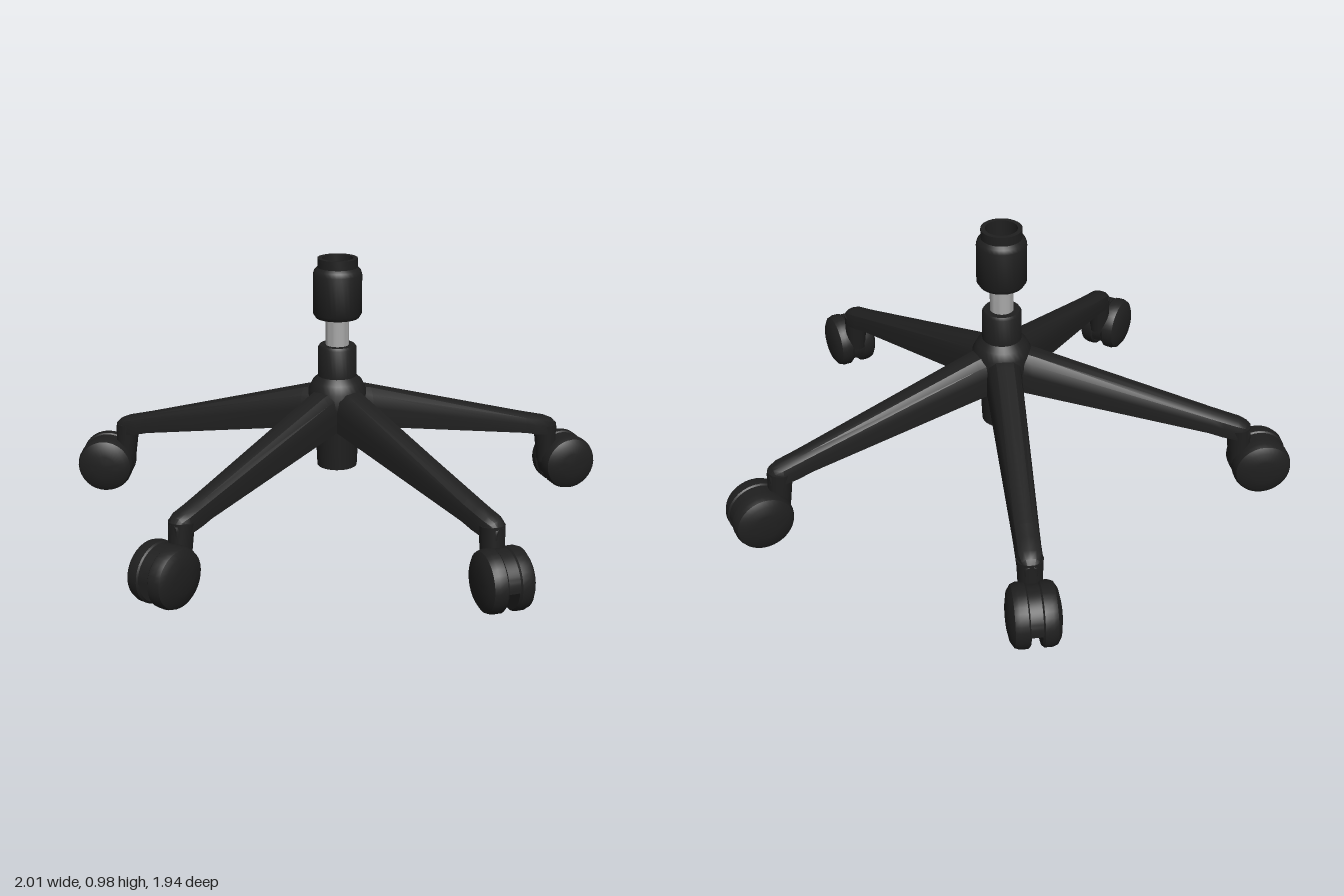
import * as THREE from 'three';
import { toCreasedNormals } from 'three/addons/utils/BufferGeometryUtils.js';

const plastic = new THREE.MeshStandardMaterial({ color: 0x1f1f1f });
plastic.name = 'black plastic';
const steel = new THREE.MeshStandardMaterial({ color: 0xa8a8a8 });
steel.name = 'grey steel';

function add(parent, name, geometry, material = plastic) {
  const mesh = new THREE.Mesh(toCreasedNormals(geometry, 0.6), material);
  mesh.name = name;
  parent.add(mesh);
  return mesh;
}

const lathe = (points, sides = 32) =>
  new THREE.LatheGeometry(points.map(([r, y]) => new THREE.Vector2(r, y)), sides);

// Arm running along +z: a tapering rounded bar with a channel underneath
function armGeometry(length) {
  // distance, bottom, top, half width, channel depth
  const stations = [
    [0.04, 0.365, 0.515, 0.066, 0.35],
    [0.12, 0.35, 0.497, 0.061, 0.35],
    [length - 0.1, 0.245, 0.318, 0.043, 0.35],
    [length - 0.05, 0.232, 0.305, 0.042, 0],
    [length, 0.225, 0.292, 0.042, 0],
    [length + 0.028, 0.222, 0.28, 0.033, 0],
    [length + 0.044, 0.222, 0.258, 0.018, 0],
  ];
  const rings = stations.map(([z, bottom, top, w, groove]) =>
    [[-1, 0], [-1, 0.5], [-0.87, 0.8], [-0.5, 0.97], [0, 1], [0.5, 0.97], [0.87, 0.8], [1, 0.5], [1, 0],
      [0.6, 0], [0.5, groove], [-0.5, groove], [-0.6, 0]]
      .map(([u, v]) => [u * w, bottom + v * (top - bottom), z]));
  const positions = [];
  const face = (...corners) => corners.forEach((p) => positions.push(...p));
  const n = rings[0].length;
  for (let i = 0; i < rings.length - 1; i++) {
    for (let j = 0; j < n; j++) {
      const k = (j + 1) % n;
      const [a, b] = [rings[i], rings[i + 1]];
      face(a[j], b[j], a[k]);
      face(a[k], b[j], b[k]);
    }
  }
  const tip = rings[rings.length - 1];
  for (let j = 0; j < n; j++) face([0, 0.235, length + 0.044], tip[(j + 1) % n], tip[j]);
  const geometry = new THREE.BufferGeometry();
  geometry.setAttribute('position', new THREE.Float32BufferAttribute(positions, 3));
  return geometry;
}

// Twin-wheel caster, pivot at the origin, trailing toward +z
function makeCaster() {
  const caster = new THREE.Group();
  caster.name = 'caster';
  const offset = 0.088;
  const radius = 0.105;

  const stem = add(caster, 'casterStem', new THREE.CylinderGeometry(0.044, 0.038, 0.15, 20));
  stem.position.set(0, 0.185, 0.008);
  stem.rotation.x = -0.1;

  const wheelProfile = [[0, 0.018], [0.098, 0.018], [radius, 0.025], [radius, 0.052], [0.099, 0.068],
    [0.08, 0.08], [0.045, 0.087], [0, 0.089]];
  for (const side of [-1, 1]) {
    const wheel = add(caster, side > 0 ? 'leftWheel' : 'rightWheel', lathe(wheelProfile));
    wheel.rotation.z = -side * Math.PI / 2;
    wheel.position.set(0, radius, offset);
  }

  // Half-round hood closing the top of the gap between the wheels
  const hoodShape = new THREE.Shape();
  hoodShape.absarc(0, 0, 0.1, -0.05, Math.PI + 0.5, false);
  hoodShape.closePath();
  const hoodGeometry = new THREE.ExtrudeGeometry(hoodShape, { depth: 0.04, bevelEnabled: false, curveSegments: 20 });
  hoodGeometry.translate(0, 0, -0.02).rotateY(-Math.PI / 2);
  add(caster, 'casterHood', hoodGeometry).position.set(0, radius, offset);

  const axle = add(caster, 'axle', new THREE.CylinderGeometry(0.022, 0.022, 0.05, 16));
  axle.rotation.z = Math.PI / 2;
  axle.position.set(0, radius, offset);
  return caster;
}

export function createModel() {
  const model = new THREE.Group();
  model.name = 'chairBase';
  const base = new THREE.Group();
  base.name = 'fiveStarBase';
  base.position.z = -0.08;
  model.add(base);

  // Central hub with its collar and lower tube
  add(base, 'hub', lathe([[0, 0.2], [0.073, 0.2], [0.08, 0.35], [0.1, 0.362], [0.108, 0.44],
    [0.105, 0.495], [0.09, 0.525], [0.07, 0.545], [0.07, 0.65], [0.064, 0.66], [0, 0.66]]));

  // Gas lift, a tube open at the top
  add(base, 'gasLift', lathe([[0.042, 0.62], [0.042, 0.91], [0.035, 0.91], [0.035, 0.89]]), steel);
  add(base, 'gasLiftPlug', new THREE.CylinderGeometry(0.035, 0.035, 0.02, 24)).position.y = 0.89;

  // Hollow sleeve around the top of the lift
  add(base, 'sleeve', lathe([[0.041, 0.762], [0.078, 0.762], [0.088, 0.778], [0.088, 0.92], [0.083, 0.935],
    [0.072, 0.945], [0.072, 0.978], [0.056, 0.978], [0.056, 0.895], [0.041, 0.895]]));

  // Arm direction, caster heading (degrees from the front) and pivot distance
  const arms = [[0, 0, 0.845], [72, 55, 0.857], [-72, -55, 0.857], [146, 145, 0.857], [-146, -145, 0.857]];
  for (const [direction, heading, reach] of arms) {
    const angle = THREE.MathUtils.degToRad(direction);
    add(base, 'arm', armGeometry(reach)).rotation.y = angle;
    const caster = makeCaster();
    caster.position.set(Math.sin(angle) * reach, 0, Math.cos(angle) * reach);
    caster.rotation.y = THREE.MathUtils.degToRad(heading);
    base.add(caster);
  }
  return model;
}
